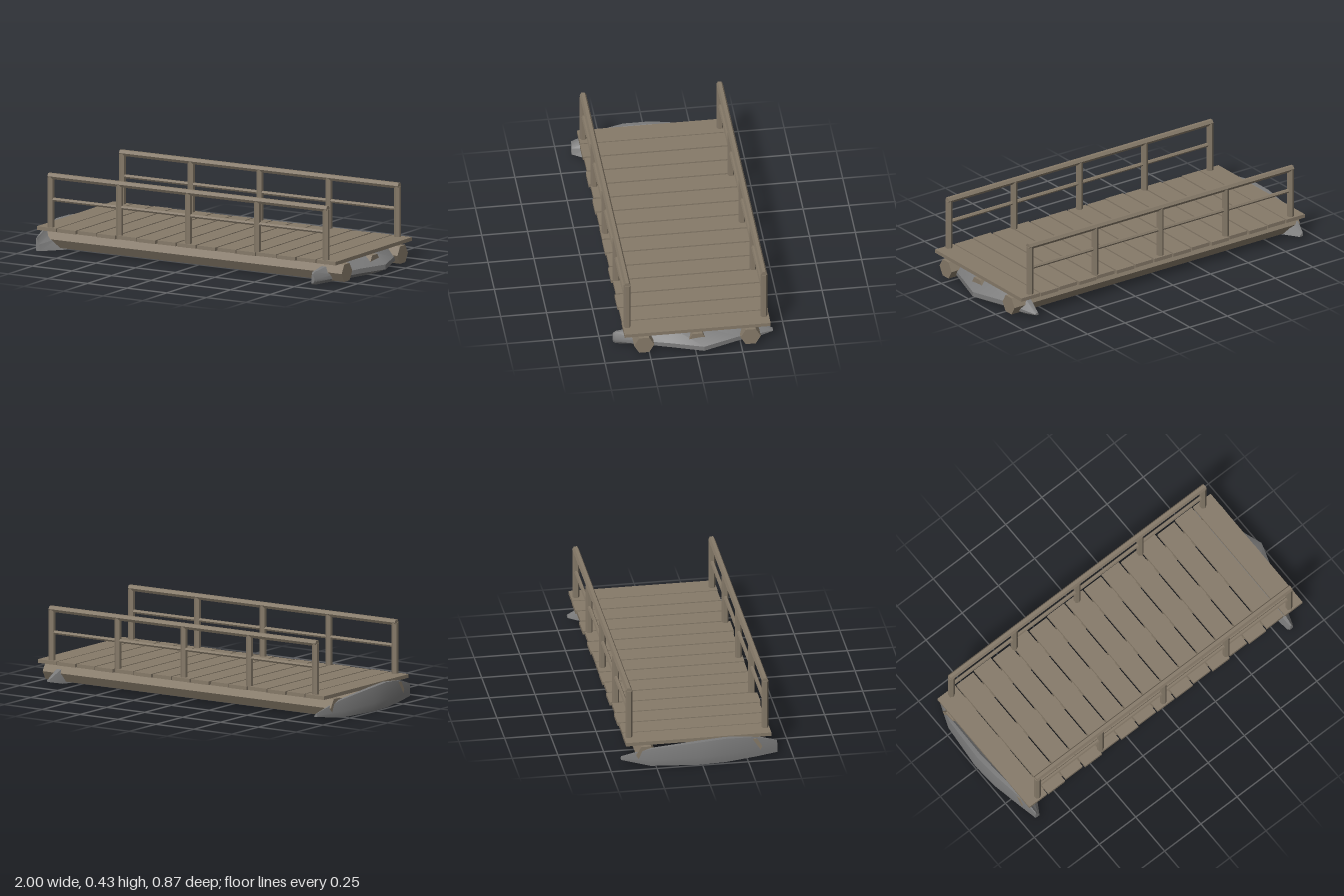
import * as THREE from 'three';
import { toCreasedNormals } from 'three/addons/utils/BufferGeometryUtils.js';

export function createModel() {
  const bridge = new THREE.Group();
  bridge.name = 'footbridge';
  const wood = new THREE.MeshStandardMaterial({ color: 0x867a69 });
  wood.name = 'weathered wood';
  const stone = new THREE.MeshStandardMaterial({ color: 0x7b7b7b });
  stone.name = 'grey stone';

  const add = (name, geometry, material, x, y, z) => {
    const mesh = new THREE.Mesh(geometry, material);
    mesh.name = name;
    mesh.position.set(x, y, z);
    bridge.add(mesh);
    return mesh;
  };
  const hex = (radius, length) =>
    toCreasedNormals(new THREE.CylinderGeometry(radius, radius, length, 6), 0.3);

  // Three hexagonal logs carry the deck
  for (const z of [-0.3, -0.01, 0.28]) {
    add('supportLog', hex(0.055, 1.9), wood, 0, 0.062, z).rotation.z = Math.PI / 2;
  }

  // Deck planks, with slightly uneven ends
  for (let i = 0; i < 15; i++) {
    const end = i === 0 || i === 14;
    const jitter = end ? 0 : Math.sin(i * 2.7) * 0.005;
    add('deckPlank', new THREE.BoxGeometry(end ? 0.122 : 0.116, 0.02, 0.795),
      wood, (i - 7) * 0.126, 0.127, -0.012 + jitter);
  }

  // Railings on both sides
  for (const z of [-0.382, 0.362]) {
    for (let i = -2; i <= 2; i++) {
      add('railPost', hex(0.019, 0.3), wood, i * 0.434, 0.265, z);
    }
    add('topRail', hex(0.018, 1.76), wood, 0, 0.418, z).rotation.z = Math.PI / 2;
    add('middleRail', hex(0.011, 1.74), wood, 0, 0.29, z).rotation.z = Math.PI / 2;
  }

  // Bank stones lofted through hexagonal sections: [z, outer x, inner x, bottom, top]
  // Profile gives each corner as [fraction from inner to outer, fraction of height]
  const rock = (name, sections, profile) => {
    const positions = [];
    const index = [];
    const n = profile.length;
    const mirrored = sections[0][1] < 0;
    const face = (a, b, c) => (mirrored ? index.push(a, c, b) : index.push(a, b, c));
    for (const [z, outer, inner, bottom, top] of sections) {
      for (const [u, v] of profile) {
        positions.push(inner + (outer - inner) * u, bottom + (top - bottom) * v, z);
      }
    }
    const last = (sections.length - 1) * n;
    for (let s = 0; s < last; s += n) {
      for (let j = 0; j < n; j++) {
        const k = (j + 1) % n;
        face(s + j, s + k, s + n + k);
        face(s + j, s + n + k, s + n + j);
      }
    }
    for (let j = 1; j < n - 1; j++) {
      face(0, j + 1, j);
      face(last, last + j, last + j + 1);
    }
    const geometry = new THREE.BufferGeometry();
    geometry.setAttribute('position', new THREE.Float32BufferAttribute(positions, 3));
    geometry.setIndex(index);
    add(name, toCreasedNormals(geometry, 0.6), stone, 0, 0, 0);
  };

  rock('rightEndStone', [
    [-0.432, 0.868, 0.845, 0.024, 0.038],
    [-0.35, 0.9, 0.82, 0.006, 0.08],
    [-0.24, 0.93, 0.795, 0.002, 0.113],
    [-0.04, 1.0, 0.78, 0, 0.116],
    [0.13, 0.945, 0.785, 0.002, 0.115],
    [0.3, 0.885, 0.795, 0.004, 0.092],
    [0.42, 0.845, 0.81, 0.006, 0.075],
    [0.434, 0.838, 0.818, 0.015, 0.066],
  ], [[0, 0], [0.68, 0], [1, 0.25], [1, 0.48], [0.55, 1], [0.2, 1], [0.05, 0.5]]);

  rock('leftEndStone', [
    [-0.432, -0.915, -0.892, 0.024, 0.045],
    [-0.28, -0.975, -0.84, 0.004, 0.1],
    [-0.02, -1.0, -0.79, 0, 0.128],
    [0.13, -0.99, -0.79, 0, 0.135],
    [0.3, -0.955, -0.83, 0.004, 0.118],
    [0.42, -0.928, -0.9, 0.01, 0.08],
  ], [[0, 0], [0.97, 0], [1, 0.35], [0.92, 1], [0.8, 1], [0.62, 0.72], [0.3, 0.5]]);

  return bridge;
}
